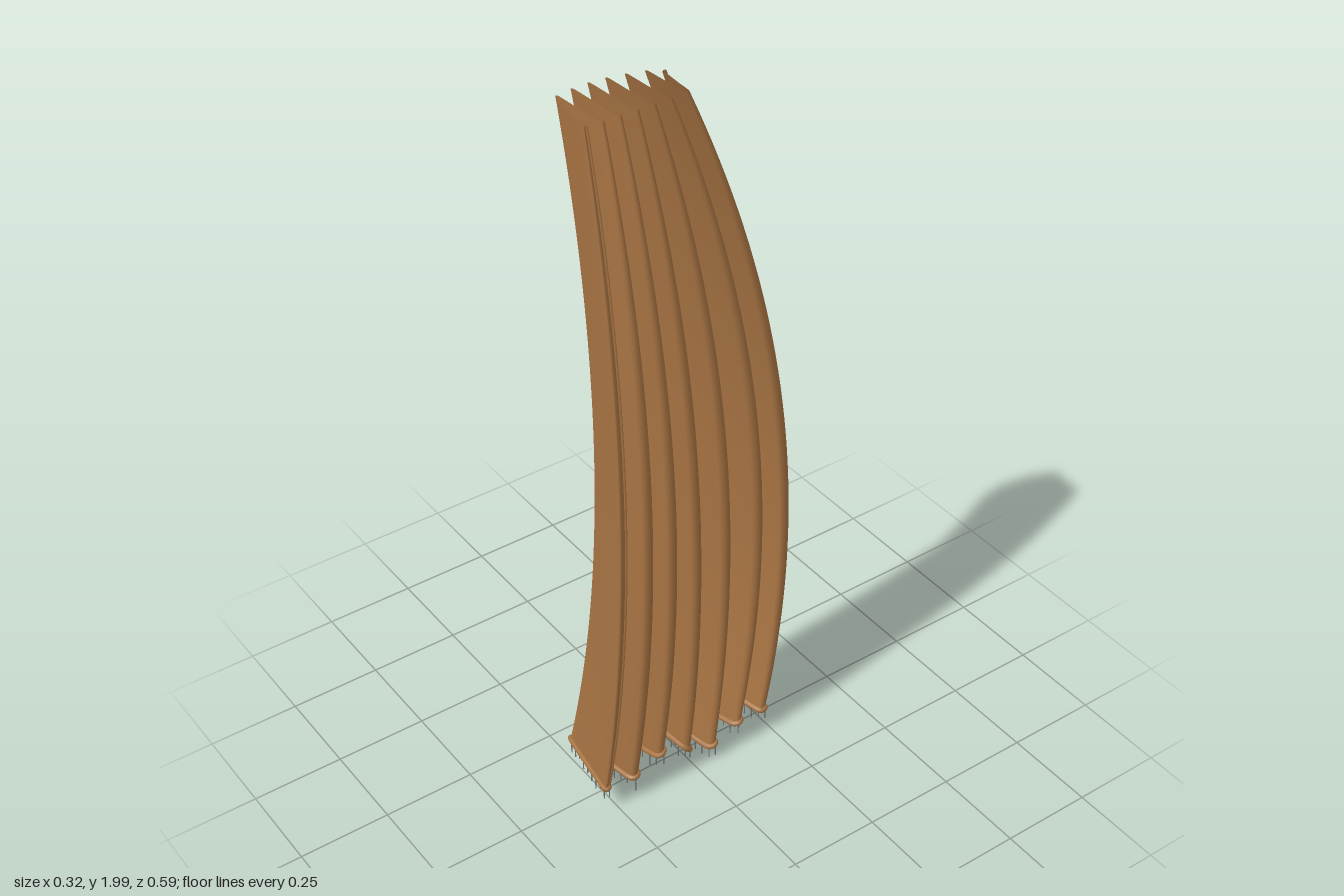
import * as THREE from 'three';

const ROWS = 40, PER_FOLD = 5;

// Smooth parabola through values at the top (y 2), middle (y 1) and bottom (y 0.08)
function blend([top, mid, bottom], y) {
  const u = y - 1, p = top - mid, q = bottom - mid;
  const a = (q + 0.92 * p) / 1.7664;
  return mid + a * u * u + (p - a) * u;
}

// Fold tips: x and z, each given as [top, middle, bottom]
const tips = [];
const addTip = (x, z, d) => {
  for (const s of [1, -1]) tips.push({ x, z: z.map((v, k) => v + s * d[k]) });
};
const rightMid = [0.151, 0.14, 0.118, 0.09, 0.07, 0.069, 0.069];
const rightMidZ = [0.273, 0.195, 0.113, 0.025, -0.075, -0.172, -0.252];
const leftTop = [-0.098, -0.105, -0.106, -0.103, -0.093, -0.08];
const leftMid = [-0.005, -0.03, -0.055, -0.078, -0.095, -0.103];
const leftBottom = [-0.138, -0.123, -0.122, -0.138, -0.145, -0.145];
for (let i = 0; i < 7; i++) {
  const x = [0.042, rightMid[i], 0.063];
  const z = [0.276 - 0.044 * i, rightMidZ[i], 0.276 - 0.083 * i];
  // The front edge turns back behind the first panel
  if (i === 0) addTip(x, z, [-0.005, -0.01, -0.007]);
  else addTip(x, z, [0.006, 0.015, 0.012]);
  if (i < 6) {
    addTip([leftTop[i], leftMid[i], leftBottom[i]],
      [0.25 - 0.044 * i, 0.235 - 0.085 * i, 0.245 - 0.081 * i], [0.004, 0.009, 0.007]);
  }
}
// Rounded back panel and its free edge
tips.push({ x: [0, -0.02, -0.02], z: [0.004, -0.276, -0.235] });
tips.push({ x: [-0.05, -0.075, -0.085], z: [0, -0.25, -0.224] });
tips.push({ x: [-0.06, -0.092, -0.102], z: [-0.002, -0.22, -0.212] });

const COLS = (tips.length - 1) * PER_FOLD;

// Wavy lower edge
const hemHeight = z =>
  0.088 + 0.044 * Math.cos((z - 0.1) * Math.PI * 2 / 0.3) * Math.exp(-(((z - 0.02) / 0.15) ** 2));

// One row of points across the pleats; t runs from 0 at the hem to 1 at the top
function pleatRow(t) {
  const y = 0.08 + 1.92 * t;
  const curve = new THREE.CatmullRomCurve3(
    tips.map(p => new THREE.Vector3(blend(p.x, y), 0, blend(p.z, y))), false, 'catmullrom', 0.2);
  const row = [];
  for (let c = 0; c <= COLS; c++) {
    const p = curve.getPoint(c / COLS);
    p.y = y + (hemHeight(p.z) - 0.08) * (1 - t) ** 3;
    row.push(p);
  }
  return row;
}

export function createModel() {
  const group = new THREE.Group();
  group.name = 'curtain';
  const cloth = new THREE.MeshStandardMaterial({ color: 0xa87443, side: THREE.DoubleSide });
  cloth.name = 'brown cloth';
  const thread = new THREE.MeshStandardMaterial({ color: 0x74777a });
  thread.name = 'grey thread';

  const add = (geometry, material, name, parent = group) => {
    const mesh = new THREE.Mesh(geometry, material);
    mesh.name = name;
    parent.add(mesh);
    return mesh;
  };

  // Pleated cloth
  const rows = [];
  for (let r = 0; r <= ROWS; r++) rows.push(pleatRow(r / ROWS));
  const positions = [], index = [], w = COLS + 1;
  rows.forEach(row => row.forEach(p => positions.push(p.x, p.y, p.z)));
  for (let r = 0; r < ROWS; r++) {
    for (let c = 0; c < COLS; c++) {
      const a = r * w + c, b = a + 1, d = a + w, e = d + 1;
      index.push(a, d, b, b, d, e);
    }
  }
  const sheet = new THREE.BufferGeometry();
  sheet.setAttribute('position', new THREE.Float32BufferAttribute(positions, 3));
  sheet.setIndex(index);
  sheet.computeVertexNormals();
  add(sheet, cloth, 'pleatedCloth');

  // Rolled side edges
  const roll = (points, segments, radius, name) =>
    add(new THREE.TubeGeometry(new THREE.CatmullRomCurve3(points), segments, radius, 6), cloth, name);
  roll(rows.map(row => row[0]), 60, 0.004, 'frontEdgeRoll');
  roll(rows.map(row => row[COLS]), 60, 0.005, 'backEdgeRoll');

  // Corded hem
  const hem = new THREE.CatmullRomCurve3(rows[0]);
  add(new THREE.TubeGeometry(hem, 420, 0.008, 8), cloth, 'hemCord');

  // Hanging fringe of uneven threads
  const fringe = new THREE.Group();
  fringe.name = 'fringe';
  group.add(fringe);
  const strand = new THREE.CylinderGeometry(0.0018, 0.0018, 1, 6);
  hem.getSpacedPoints(120).forEach((p, i) => {
    const length = 0.037 + 0.009 * Math.sin(i * 2.4) + 0.006 * Math.sin(i * 5.1);
    const mesh = add(strand, thread, 'fringeThread', fringe);
    mesh.scale.y = length;
    mesh.position.set(p.x, Math.max(p.y - length / 2, length / 2), p.z);
  });
  return group;
}
